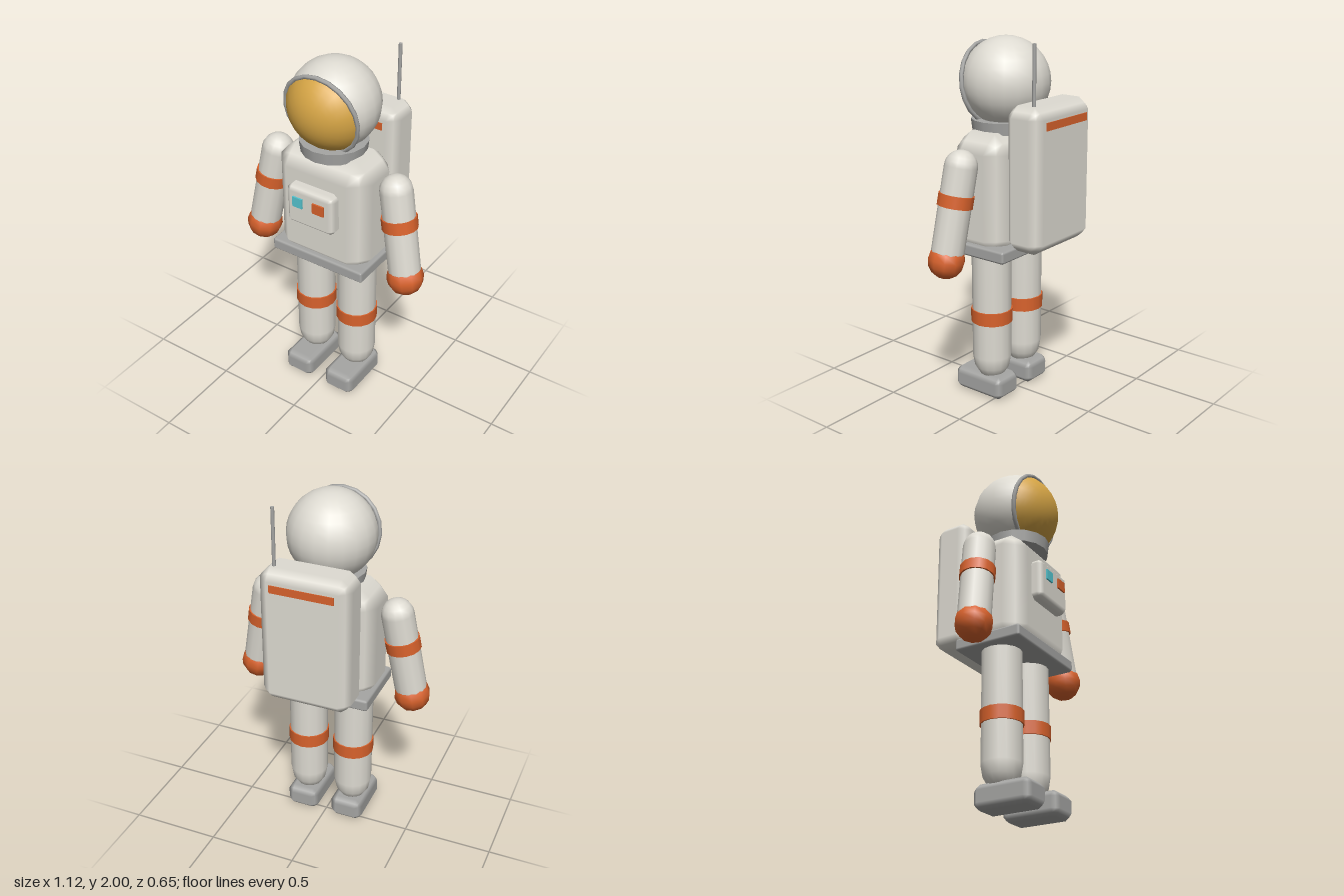
import * as THREE from 'three';

const mat = (name, color) => {
  const m = new THREE.MeshStandardMaterial({ color });
  m.name = name;
  return m;
};

export function createModel() {
  const white = mat('suit white', 0xdedbd2);
  const grey = mat('trim grey', 0xa6a6a4);
  const orange = mat('band orange', 0xd8622c);
  const gold = mat('visor gold', 0xd6a545);
  const cyan = mat('button cyan', 0x55c5d0);

  const model = new THREE.Group();
  model.name = 'astronaut';

  const add = (name, geo, material, pos = [0, 0, 0], parent = model) => {
    const mesh = new THREE.Mesh(geo, material);
    mesh.name = name;
    mesh.position.set(...pos);
    parent.add(mesh);
    return mesh;
  };

  // Box with softly shaded chamfers of size r on every edge
  const bevelBox = (w, h, d, r) => {
    const geo = new THREE.BoxGeometry(3, 3, 3, 3, 3, 3);
    const p = geo.attributes.position, n = geo.attributes.normal;
    const inner = new THREE.Vector3(w / 2 - r, h / 2 - r, d / 2 - r);
    const v = new THREE.Vector3(), s = new THREE.Vector3(), dir = new THREE.Vector3();
    for (let i = 0; i < p.count; i++) {
      v.fromBufferAttribute(p, i);
      s.set(Math.sign(v.x), Math.sign(v.y), Math.sign(v.z));
      dir.set(...v.toArray().map((c) => (Math.abs(c) > 1 ? Math.sign(c) : 0)));
      const count = dir.lengthSq();
      v.copy(s).multiply(inner).addScaledVector(dir, r / Math.pow(count, 0.85));
      p.setXYZ(i, v.x, v.y, v.z);
      dir.normalize();
      n.setXYZ(i, dir.x, dir.y, dir.z);
    }
    return geo;
  };

  // Torso, belt and collar
  add('torso', bevelBox(0.57, 0.665, 0.355, 0.1), white, [0, 1.183, 0.078]);
  add('belt', bevelBox(0.58, 0.07, 0.395, 0.014), grey, [0, 0.885, 0.063]);
  add('collar', new THREE.CylinderGeometry(0.182, 0.174, 0.065, 16), grey, [0, 1.532, 0.08]);

  // Helmet, with visor cap and rim tilted slightly down
  add('helmet', new THREE.SphereGeometry(0.238, 20, 16), white, [0, 1.762, 0.07]);
  const face = new THREE.Group();
  face.name = 'visorGroup';
  face.position.set(0, 1.762, 0.072);
  face.rotation.x = 0.16;
  model.add(face);
  const cap = new THREE.SphereGeometry(0.244, 20, 8, 0, Math.PI * 2, 0, 1.06);
  cap.rotateX(Math.PI / 2);
  add('visor', cap, gold, [0, 0, 0], face);
  add('visorRim', new THREE.TorusGeometry(0.216, 0.0125, 6, 20), grey, [0, 0, 0.122], face);

  // Chest control box with two buttons
  add('chestBox', bevelBox(0.294, 0.235, 0.09, 0.03), white, [0, 1.238, 0.271]);
  add('cyanButton', new THREE.BoxGeometry(0.06, 0.058, 0.009), cyan, [-0.065, 1.271, 0.3205]);
  add('orangeButton', new THREE.BoxGeometry(0.07, 0.058, 0.009), orange, [0.063, 1.271, 0.3205]);

  // Life support pack, stripes and antenna
  add('backpack', bevelBox(0.504, 0.775, 0.226, 0.06), white, [0, 1.3, -0.212]);
  for (const [name, z] of [['packRearStripe', -0.325], ['packFrontStripe', -0.1]])
    add(name, new THREE.BoxGeometry(0.35, 0.042, 0.009), orange, [0, 1.593, z]);
  add('antenna', new THREE.CylinderGeometry(0.01, 0.01, 0.36, 8), grey, [0.178, 1.82, -0.25]);

  const legProfile = [[0, 0.11], [0.068, 0.125], [0.098, 0.175], [0.109, 0.24], [0.109, 0.9]]
    .map(([x, y]) => new THREE.Vector2(x, y));
  const shoulder = new THREE.Vector3(0.372, 1.37, 0.07);
  const wrist = new THREE.Vector3(0.463, 0.88, 0.102);
  const armAxis = wrist.clone().sub(shoulder);

  for (const [side, s] of [['left', 1], ['right', -1]]) {
    // Leg, knee band and boot
    add(side + 'Leg', new THREE.LatheGeometry(legProfile, 16), white, [s * 0.138, 0, 0.066]);
    add(side + 'LegBand', new THREE.CylinderGeometry(0.116, 0.116, 0.075, 16), orange, [s * 0.138, 0.483, 0.066]);
    add(side + 'Boot', bevelBox(0.19, 0.135, 0.335, 0.036), grey, [s * 0.137, 0.0675, 0.108]);

    // Arm hanging outward and slightly forward, built along its own -y
    const arm = new THREE.Group();
    arm.name = side + 'ArmGroup';
    arm.position.set(s * shoulder.x, shoulder.y, shoulder.z);
    const dir = armAxis.clone().normalize();
    dir.x *= s;
    arm.quaternion.setFromUnitVectors(new THREE.Vector3(0, -1, 0), dir);
    model.add(arm);
    const len = armAxis.length();
    add(side + 'Arm', new THREE.CapsuleGeometry(0.088, len - 0.05, 5, 14), white, [0, -(len - 0.05) / 2, 0], arm);
    add(side + 'ArmBand', new THREE.CylinderGeometry(0.096, 0.096, 0.065, 14), orange, [0, -len * 0.355, 0], arm);
    add(side + 'Glove', new THREE.SphereGeometry(0.1, 10, 8), orange, [0, -len, 0], arm);
  }
  return model;
}
